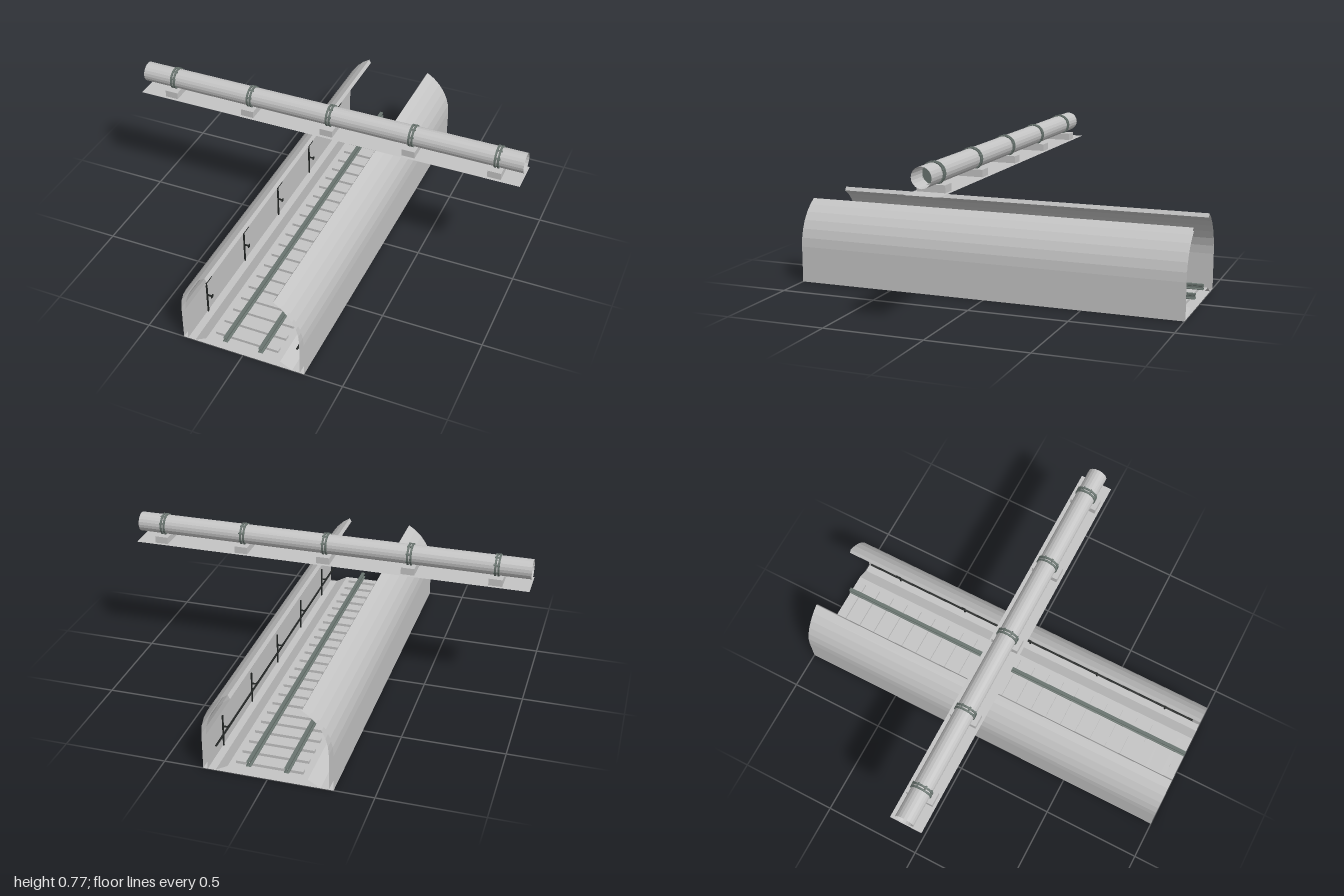
import * as THREE from 'three';

function material(name, color, doubleSided) {
  const m = new THREE.MeshStandardMaterial({ color, flatShading: true });
  m.name = name;
  if (doubleSided) m.side = THREE.DoubleSide;
  return m;
}

// Open sheet: a 2D profile (x, y) swept straight along z, without end caps
function sweep(points, z0, z1) {
  const pos = [];
  for (let i = 0; i < points.length - 1; i++) {
    const [ax, ay] = points[i], [bx, by] = points[i + 1];
    pos.push(ax, ay, z0, bx, by, z0, bx, by, z1);
    pos.push(ax, ay, z0, bx, by, z1, ax, ay, z1);
  }
  const g = new THREE.BufferGeometry();
  g.setAttribute('position', new THREE.Float32BufferAttribute(pos, 3));
  g.computeVertexNormals();
  return g;
}

export function createModel() {
  const model = new THREE.Group();
  model.name = 'trackTunnelWithPipe';
  const concrete = material('concrete', 0xc4c4c4, true);
  const steel = material('dark steel', 0x69746f, true);
  const black = material('black iron', 0x222524, true);

  const add = (parent, name, geometry, mat, x = 0, y = 0, z = 0) => {
    const mesh = new THREE.Mesh(geometry, mat);
    mesh.name = name;
    mesh.position.set(x, y, z);
    parent.add(mesh);
    return mesh;
  };
  const box = (parent, name, mat, w, h, d, x, y, z) =>
    add(parent, name, new THREE.BoxGeometry(w, h, d), mat, x, y, z);

  // Curved walls: outer skin, sloping lip and inner skin in one sheet
  const endAngle = THREE.MathUtils.degToRad(61);
  const arc = (r) => Array.from({ length: 7 }, (_, i) => {
    const a = endAngle * i / 6;
    return [0.048 + r * Math.cos(a), 0.185 + r * Math.sin(a)];
  });
  const wall = [[0.31, 0], ...arc(0.262), ...arc(0.24).reverse(), [0.288, 0]];
  for (const s of [1, -1]) {
    add(model, s > 0 ? 'leftWall' : 'rightWall',
      sweep(wall.map(([x, y]) => [x * s, y]), -1, 1), concrete);
  }

  // Floor and raised track bed
  add(model, 'floor', sweep([[-0.31, 0], [0.31, 0]], -1, 1), concrete);
  add(model, 'trackBed',
    sweep([[-0.25, 0.001], [-0.19, 0.035], [0.19, 0.035], [0.25, 0.001]], -1, 1), concrete);

  // Sleepers
  for (let i = 0; i < 23; i++) {
    box(model, 'sleeper', concrete, 0.32, 0.014, 0.026, 0, 0.043, -0.957 + i * 0.0864);
  }

  // Rails with foot, web and head
  const half = [[0.012, 0.05], [0.012, 0.054], [0.004, 0.057],
    [0.004, 0.066], [0.009, 0.069], [0.009, 0.077]];
  const railProfile = [...half, ...half.map(([x, y]) => [-x, y]).reverse(), half[0]];
  for (const x of [-0.09, 0.09]) add(model, 'rail', sweep(railProfile, -1, 1), steel, x);

  // Wall posts with brackets on both sides; lamp arms on the right wall
  for (const s of [1, -1]) {
    for (let i = 0; i < 5; i++) {
      const post = new THREE.Group();
      post.name = 'wallPost';
      post.position.set(s * 0.285, 0, -0.8 + i * 0.4);
      model.add(post);
      box(post, 'upright', black, 0.006, 0.165, 0.008, 0, 0.0825, 0);
      box(post, 'bracket', black, 0.026, 0.005, 0.008, -s * 0.014, 0.105, 0);
      box(post, 'bracketTip', black, 0.005, 0.014, 0.016, -s * 0.026, 0.105, 0);
      if (s < 0) {
        box(post, 'lampStem', black, 0.004, 0.025, 0.006, 0, 0.176, 0);
        box(post, 'lampArm', black, 0.008, 0.012, 0.05, 0.002, 0.19, -0.02);
      }
    }
  }

  // Long cable carried by the left brackets
  const cable = new THREE.CylinderGeometry(0.005, 0.005, 1.92, 6, 1, true).rotateX(Math.PI / 2);
  add(model, 'wallCable', cable, black, 0.258, 0.105, 0);

  // Overhead walkway sheet and open pipe
  const sheet = new THREE.PlaneGeometry(2, 0.166).rotateX(-Math.PI / 2);
  add(model, 'pipeSheet', sheet, concrete, 0, 0.64, 0);
  const pipeY = 0.72;
  const pipe = new THREE.CylinderGeometry(0.049, 0.049, 2, 20, 1, true).rotateZ(Math.PI / 2);
  add(model, 'pipe', pipe, concrete, 0, pipeY, 0);

  // Pipe supports: block, paired flange discs and bolts
  const disc = new THREE.CylinderGeometry(0.055, 0.055, 0.009, 20).rotateZ(Math.PI / 2);
  const bolt = new THREE.CylinderGeometry(0.004, 0.004, 0.03, 6).rotateZ(Math.PI / 2);
  for (let i = 0; i < 5; i++) {
    const support = new THREE.Group();
    support.name = 'pipeSupport';
    support.position.x = -0.835 + i * 0.4262;
    model.add(support);
    box(support, 'supportBlock', concrete, 0.067, 0.035, 0.138, 0, 0.6585, 0);
    for (const x of [-0.008, 0.008]) add(support, 'flange', disc, steel, x, pipeY, 0);
    for (let k = 0; k < 8; k++) {
      const a = (k + 0.5) * Math.PI / 4;
      add(support, 'bolt', bolt, steel, 0.002,
        pipeY + 0.051 * Math.sin(a), 0.051 * Math.cos(a));
    }
  }
  return model;
}
